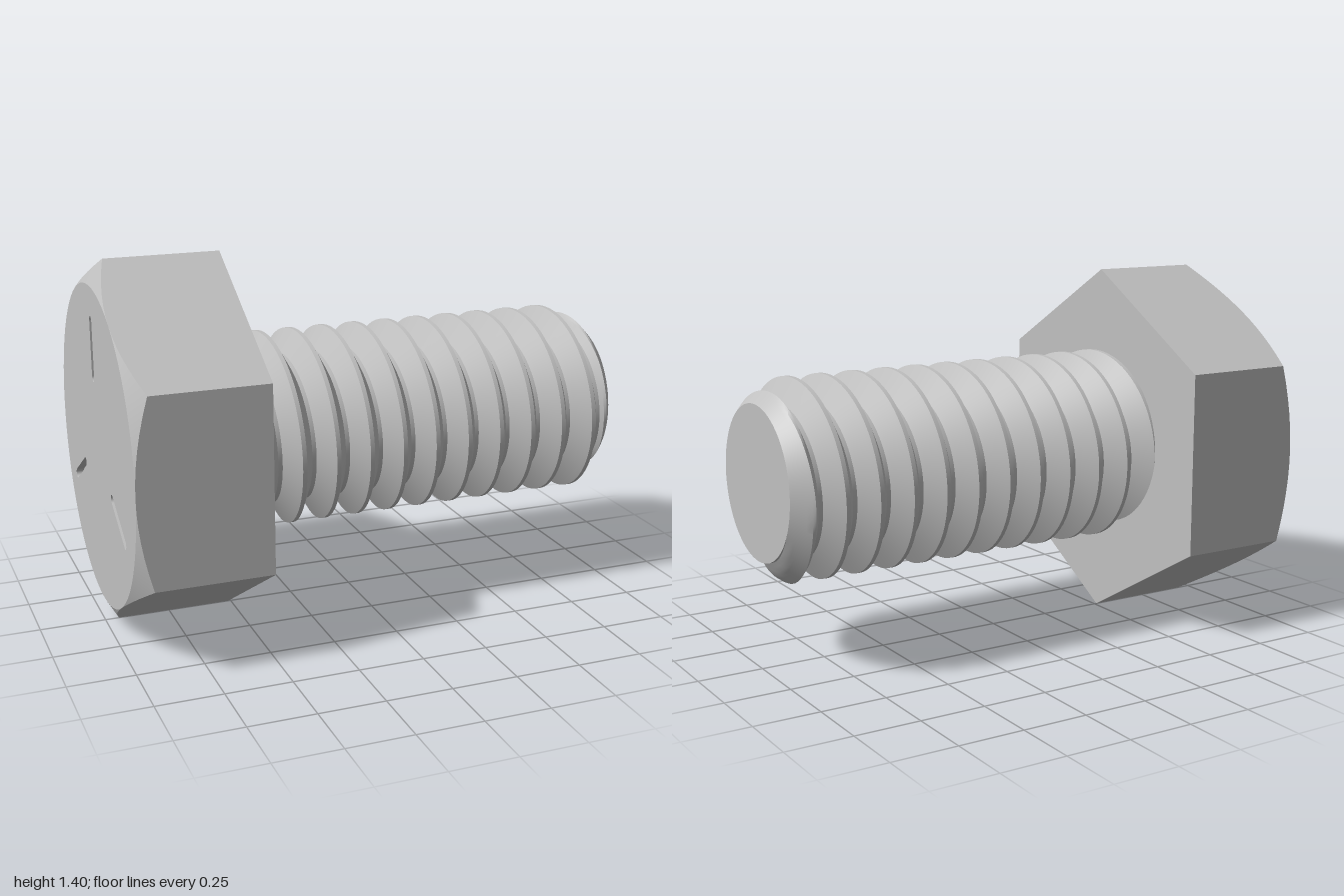
import * as THREE from 'three';
import { toCreasedNormals } from 'three/addons/utils/BufferGeometryUtils.js';

const AXIS_Y = 0.7;             // height of the bolt axis, which runs along x
const HEAD_X = -0.51;           // seat of the head
const APOTHEM = 0.606;          // half width across flats
const PITCH = 0.1336, CREST = 0.376, ROOT = 0.29;
const TAU = Math.PI * 2;

// Skin around the x axis; profile(angle) lists [x, radius] pairs. Angle runs from +y to +z.
function sweepAround(profile, segments, crease) {
  const rings = [];
  for (let i = 0; i <= segments; i++) {
    const a = ((i % segments) / segments) * TAU;
    rings.push(profile((i / segments) * TAU).map(([x, r]) => new THREE.Vector3(x, r * Math.cos(a), r * Math.sin(a))));
  }
  const pos = [];
  const tri = (a, b, c) => {
    const area = b.clone().sub(a).cross(c.clone().sub(a)).length();
    if (area > 1e-9) for (const p of [a, b, c]) pos.push(p.x, p.y, p.z);
  };
  for (let i = 0; i < segments; i++) {
    const A = rings[i], B = rings[i + 1];
    for (let j = 0; j + 1 < A.length; j++) {
      tri(A[j], B[j], A[j + 1]);
      tri(B[j], B[j + 1], A[j + 1]);
    }
  }
  const g = new THREE.BufferGeometry();
  g.setAttribute('position', new THREE.Float32BufferAttribute(pos, 3));
  return toCreasedNormals(g, crease);
}

// Hexagonal head with a conical chamfer on its outer corners
function headProfile(angle) {
  const sector = Math.PI / 3;
  const r = APOTHEM / Math.cos((angle % sector) - sector / 2);
  const rimX = -1 + (r - APOTHEM) * Math.tan(Math.PI / 6);
  return [[-1, 0.6], [-1, APOTHEM], [rimX, r], [HEAD_X, r], [HEAD_X, 0]];
}

// Thread radius: flat crest, straight flanks, flat root, chamfered tip
function threadRadius(x, angle) {
  const turns = (x + 0.35) / PITCH - angle / TAU;
  const d = Math.abs(turns - Math.round(turns));
  const t = THREE.MathUtils.clamp((d - 1 / 16) / (3 / 8), 0, 1);
  return Math.min(THREE.MathUtils.lerp(CREST, ROOT, t), ROOT + (1 - x) * 1.05);
}

// Samples follow the helix so that crest and root edges stay crisp
function threadProfile(angle) {
  const steps = [-1 / 16, 1 / 16];
  for (let k = 1; k <= 5; k++) steps.push(1 / 16 + (k / 5) * (3 / 8));
  for (let k = 0; k < 5; k++) steps.push(9 / 16 + (k / 5) * (3 / 8));
  const out = [];
  for (let turn = -3; turn <= 11; turn++) {
    for (const s of steps) {
      const x = THREE.MathUtils.clamp(-0.35 + (turn + s + angle / TAU) * PITCH, HEAD_X, 1);
      out.push([x, threadRadius(x, angle)]);
    }
  }
  return out;
}

// Rounded radial slot outline
function slot(angle, inner, outer, half) {
  const c = Math.cos(angle), s = Math.sin(angle);
  const path = new THREE.Path();
  path.absarc(outer * c, outer * s, half, angle - Math.PI / 2, angle + Math.PI / 2, false);
  path.absarc(inner * c, inner * s, half, angle + Math.PI / 2, angle + Math.PI * 1.5, false);
  path.closePath();
  return path;
}

export function createModel() {
  const steel = new THREE.MeshStandardMaterial({ color: 0xc0c0c0 });
  steel.name = 'steel grey';
  const bolt = new THREE.Group();
  bolt.name = 'hexBolt';
  const add = (name, geometry, x = 0) => {
    const mesh = new THREE.Mesh(geometry, steel);
    mesh.name = name;
    mesh.position.set(x, AXIS_Y, 0);
    bolt.add(mesh);
  };

  add('hexHead', sweepAround(headProfile, 72, 0.3), 0);

  // Top of the head with three engraved radial slots
  const face = new THREE.Shape();
  face.absarc(0, 0, 0.6, 0, TAU, false);
  for (const deg of [90, 210, 330]) face.holes.push(slot(THREE.MathUtils.degToRad(deg), 0.265, 0.475, 0.018));
  const depth = 0.03;
  const faceGeo = new THREE.ExtrudeGeometry(face, { depth, bevelEnabled: false, curveSegments: 72 });
  add('headFace', faceGeo.rotateY(-Math.PI / 2), -1 + depth);
  add('slotFloor', new THREE.CircleGeometry(0.58, 48).rotateY(-Math.PI / 2), -1 + depth);

  // Threaded shank and its flat end
  add('threadedShank', sweepAround(threadProfile, 72, 0.4));
  add('shankEnd', new THREE.CircleGeometry(ROOT, 72).rotateY(Math.PI / 2), 1);
  return bolt;
}
